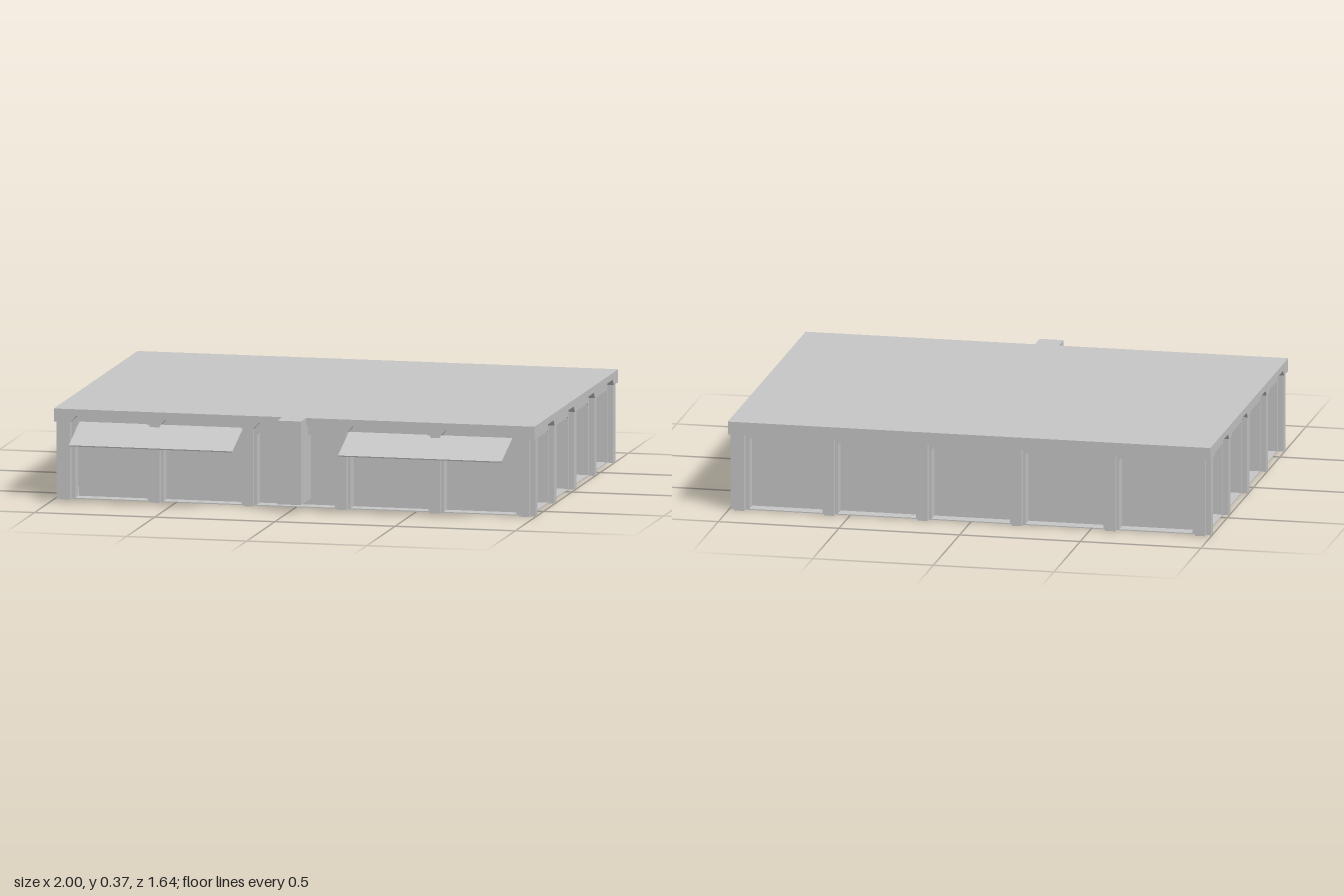
import * as THREE from 'three';

const HX = 0.973, HZ = 0.707;      // half sizes of the frame plane
const RX = 1.0, RZ = 0.74;         // half sizes of the roof
const RECESS = 0.055;              // depth of the wall panels behind the frame
const EAVE = 0.345, TOP = 0.373, CZ = -0.08;

export function createModel() {
  const grey = new THREE.MeshStandardMaterial({ color: 0xc6c6c6 });
  const model = new THREE.Group();

  const add = (parent, name, geometry, x = 0, y = 0, z = 0) => {
    const mesh = new THREE.Mesh(geometry, grey);
    mesh.name = name;
    mesh.position.set(x, y, z);
    parent.add(mesh);
    return mesh;
  };
  const box = (parent, name, x0, x1, y0, y1, z0, z1) =>
    add(parent, name, new THREE.BoxGeometry(x1 - x0, y1 - y0, z1 - z0),
      (x0 + x1) / 2, (y0 + y1) / 2, (z0 + z1) / 2);
  const polygon = (points) => new THREE.Shape(points.map(([x, y]) => new THREE.Vector2(x, y)));
  const extrude = (shape, depth) => new THREE.ExtrudeGeometry(shape, { depth, bevelEnabled: false });

  // One facade: framed bays, pillars and eave brackets, facing +z
  function facade(name, half, roofHalf, dist, roofDist, centres) {
    const side = new THREE.Group();
    side.name = name;

    // Frame with one opening per bay
    const frame = polygon([[-half, 0], [half, 0], [half, EAVE], [-half, EAVE]]);
    for (let i = 0; i < centres.length - 1; i++) {
      const x0 = centres[i] + 0.032, x1 = centres[i + 1] - 0.032;
      frame.holes.push(polygon([[x0, 0.004], [x0, 0.294], [x0 + 0.005, 0.299],
        [x1 - 0.005, 0.299], [x1, 0.294], [x1, 0.004]]));
    }
    add(side, 'bayFrame', extrude(frame, RECESS), 0, 0, dist - RECESS);

    centres.forEach((c, i) => {
      // Narrow pillar standing proud of the frame
      box(side, 'pillar', c - 0.021, c + 0.021, 0, 0.32, dist - 0.01, dist + 0.023);
      // Flared bracket under the eave, squared off at the corners
      const first = i === 0, last = i === centres.length - 1;
      const l0 = first ? -roofHalf : c - 0.026, l1 = first ? -roofHalf : c - 0.05;
      const r0 = last ? roofHalf : c + 0.026, r1 = last ? roofHalf : c + 0.05;
      add(side, 'eaveBracket', extrude(
        polygon([[l0, 0.32], [r0, 0.32], [r1, EAVE + 0.002], [l1, EAVE + 0.002]]),
        roofDist - dist + 0.01), 0, 0, dist - 0.01);
    });
    return side;
  }

  const building = new THREE.Group();
  building.name = 'building';
  building.position.z = CZ;
  model.add(building);

  // Floor, recessed wall panels and roof
  box(building, 'floor', -HX, HX, 0, 0.004, -HZ, HZ);
  box(building, 'wallPanels', -HX + RECESS, HX - RECESS, 0.002, EAVE, -HZ + RECESS, HZ - RECESS);
  box(building, 'roof', -RX, RX, EAVE, TOP, -RZ, RZ);

  // Five bays at front and back, four on each side
  const longCentres = [-0.955, -0.583, -0.195, 0.195, 0.583, 0.955];
  const shortCentres = [-0.689, -0.356, 0, 0.356, 0.689];
  [['front', 0], ['back', Math.PI]].forEach(([n, turn]) => {
    const side = facade(n + 'Facade', HX, RX, HZ, RZ, longCentres);
    side.rotation.y = turn;
    building.add(side);
  });
  [['left', Math.PI / 2], ['right', -Math.PI / 2]].forEach(([n, turn]) => {
    const side = facade(n + 'Facade', HZ, RZ, HX, RX, shortCentres);
    side.rotation.y = turn;
    building.add(side);
  });

  // Projecting fin in the middle of the front
  box(model, 'frontFin', -0.05, 0.05, 0.03, TOP, 0.57, 0.75);

  // Sloping awnings, each over two front bays
  const rise = 0.072, run = 0.21;
  for (const s of [-1, 1]) {
    const awning = add(model, s > 0 ? 'leftAwning' : 'rightAwning',
      new THREE.BoxGeometry(0.68, 0.005, Math.hypot(rise, run)),
      s * 0.56, 0.249 + rise / 2, 0.82 - run / 2);
    awning.rotation.x = Math.atan2(rise, run);
  }
  return model;
}
